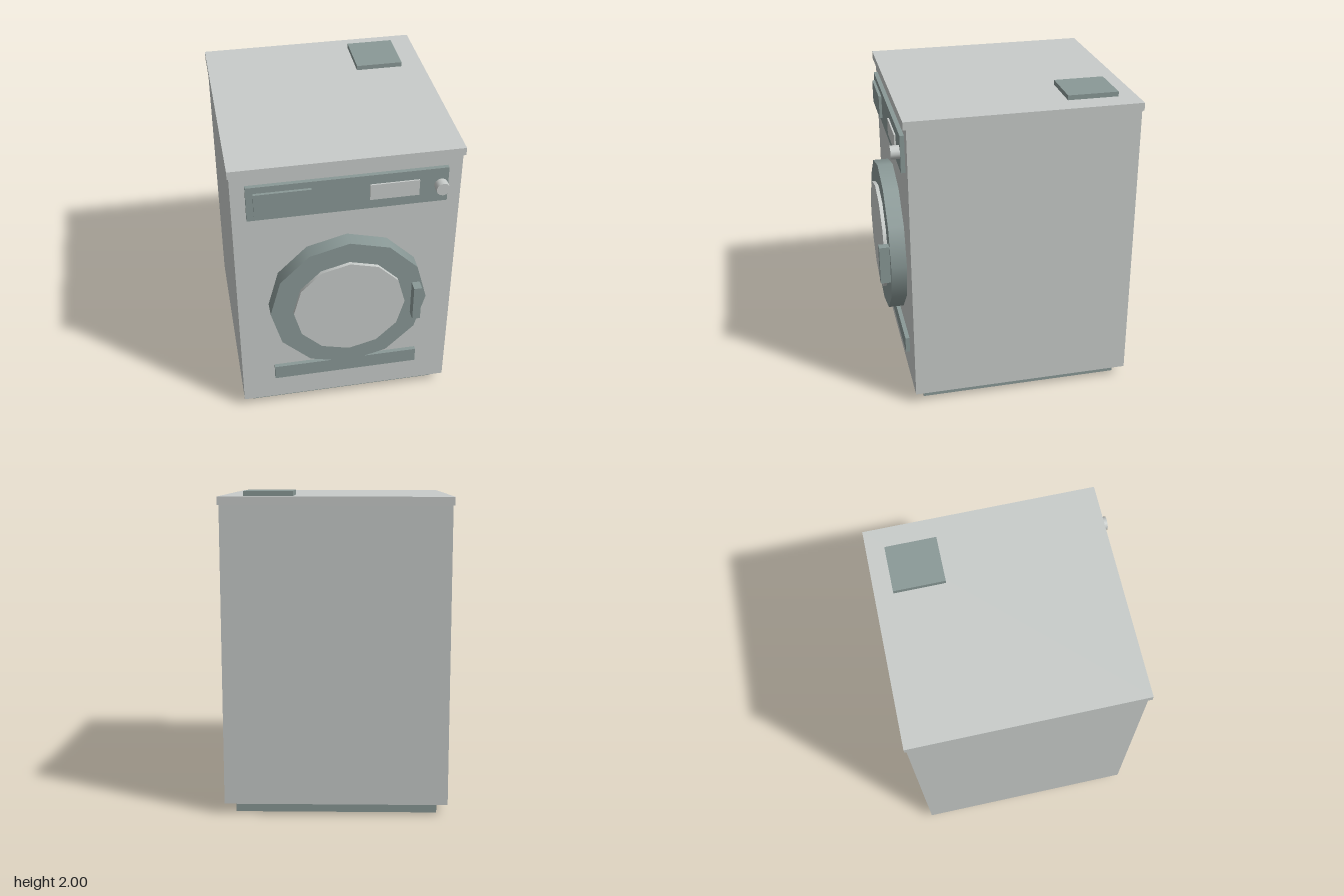
import * as THREE from 'three';

export function createModel() {
  const model = new THREE.Group();
  model.name = 'washingMachine';

  const enamel = new THREE.MeshStandardMaterial({ color: 0xc8ccca });
  enamel.name = 'pale grey enamel';
  const trim = new THREE.MeshStandardMaterial({ color: 0x8a9997 });
  trim.name = 'grey green trim';

  // Box given by its limits on each axis
  function box(name, material, [x0, x1], [y0, y1], [z0, z1]) {
    const mesh = new THREE.Mesh(new THREE.BoxGeometry(x1 - x0, y1 - y0, z1 - z0), material);
    mesh.position.set((x0 + x1) / 2, (y0 + y1) / 2, (z0 + z1) / 2);
    mesh.name = name;
    model.add(mesh);
  }

  // Twelve-sided disc facing forward
  function disc(name, material, radius, x, y, [z0, z1]) {
    const geometry = new THREE.CylinderGeometry(radius, radius, z1 - z0, 12);
    geometry.rotateX(Math.PI / 2);
    const mesh = new THREE.Mesh(geometry, material);
    mesh.position.set(x, y, (z0 + z1) / 2);
    mesh.name = name;
    model.add(mesh);
  }

  const front = 0.64;

  // Cabinet
  box('plinth', trim, [-0.63, 0.63], [0, 0.07], [-0.73, 0.58]);
  box('cabinet', enamel, [-0.695, 0.695], [0.07, 1.92], [-0.79, front]);
  box('worktop', enamel, [-0.705, 0.705], [1.92, 1.97], [-0.8, 0.66]);
  box('topHatch', trim, [0.26, 0.56], [1.97, 2], [-0.685, -0.365]);

  // Control panel
  box('controlPanel', trim, [-0.607, 0.607], [1.613, 1.85], [front, 0.667]);
  box('detergentDrawer', trim, [-0.565, -0.22], [1.657, 1.807], [0.66, 0.685]);
  box('display', enamel, [0.13, 0.43], [1.68, 1.787], [0.66, 0.677]);
  disc('programKnob', enamel, 0.042, 0.563, 1.733, [0.66, 0.723]);

  // Door
  disc('doorRing', trim, 0.5, 0, 0.917, [front, 0.74]);
  disc('doorWindow', enamel, 0.356, 0, 0.917, [0.72, 0.763]);
  box('doorHandle', trim, [0.402, 0.453], [0.79, 1.045], [0.7, 0.805]);

  // Service flap
  box('serviceFlap', trim, [-0.48, 0.48], [0.265, 0.37], [front, 0.667]);

  return model;
}
